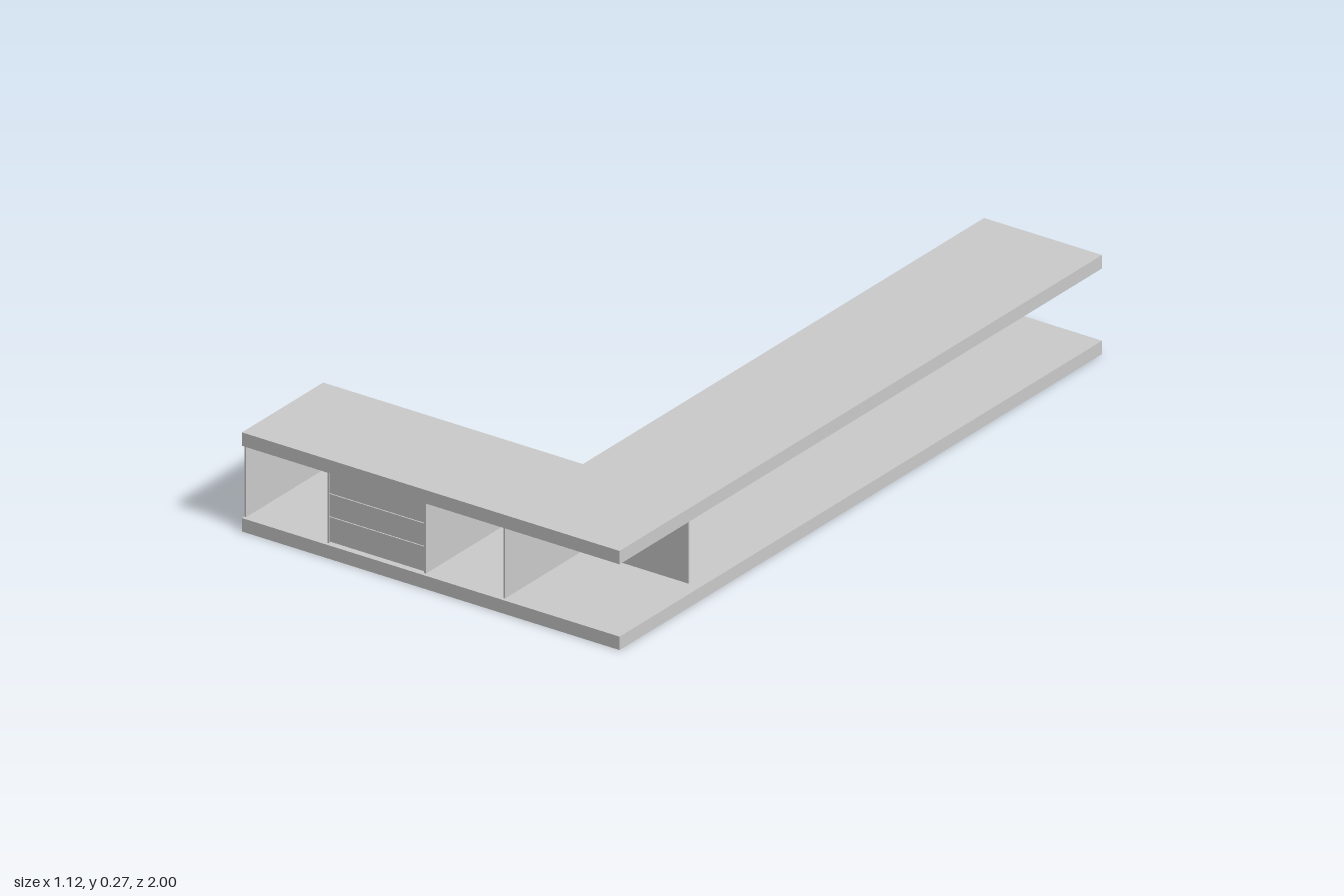
import * as THREE from 'three';

const material = new THREE.MeshStandardMaterial({ color: 0xcccccc });

// Box given by its minimum and maximum corners
function box(name, [x0, y0, z0], [x1, y1, z1]) {
  const mesh = new THREE.Mesh(new THREE.BoxGeometry(x1 - x0, y1 - y0, z1 - z0), material);
  mesh.name = name;
  mesh.position.set((x0 + x1) / 2, (y0 + y1) / 2, (z0 + z1) / 2);
  return mesh;
}

// L-shaped slab; shape y is -z so that it lies flat after rotation
function slab(name, y) {
  const shape = new THREE.Shape([
    [-0.56, -1], [0.56, -1], [0.56, 1], [0.21, 1], [0.21, -0.663], [-0.56, -0.663],
  ].map(([x, z]) => new THREE.Vector2(x, z)));
  const geometry = new THREE.ExtrudeGeometry(shape, { depth: 0.036, bevelEnabled: false });
  geometry.rotateX(-Math.PI / 2);
  const mesh = new THREE.Mesh(geometry, material);
  mesh.name = name;
  mesh.position.y = y;
  return mesh;
}

function knob(x, y) {
  const geometry = new THREE.CylinderGeometry(0.006, 0.006, 0.012, 16).rotateX(Math.PI / 2);
  const mesh = new THREE.Mesh(geometry, material);
  mesh.name = 'knob';
  mesh.position.set(x, y, 0.664);
  return mesh;
}

export function createModel() {
  const model = new THREE.Group();
  model.name = 'cornerCounter';
  const back = 0.668, inner = 0.673, front = 0.99;
  const bottom = 0.04, top = 0.23;

  model.add(slab('baseSlab', 0), slab('counterTop', 0.23));

  // Upright panels between the compartments
  for (const x of [-0.557, -0.311, -0.024, 0.211]) {
    model.add(box('divider', [x - 0.0025, 0.036, inner], [x + 0.0025, top, front]));
  }

  // Doors and corner panel along the inner side
  model.add(
    box('rightDoor', [-0.558, bottom, back], [-0.311, top, inner]),
    box('leftDoor', [-0.022, bottom, back], [0.21, top, inner]),
    box('cornerPanel', [0.211, bottom, back], [0.53, top, inner]),
    knob(-0.53, 0.208), knob(0.19, 0.208),
  );

  // Stack of three drawers with thin gaps
  const edges = [bottom, 0.108, 0.17, top];
  [0.08, 0.147, 0.208].forEach((y, i) => {
    const drawer = new THREE.Group();
    drawer.name = 'drawer';
    drawer.add(
      box('drawerBox', [-0.308, edges[i] + 0.001, back], [-0.0265, edges[i + 1] - 0.001, front]),
      knob(-0.17, y),
    );
    model.add(drawer);
  });

  return model;
}
